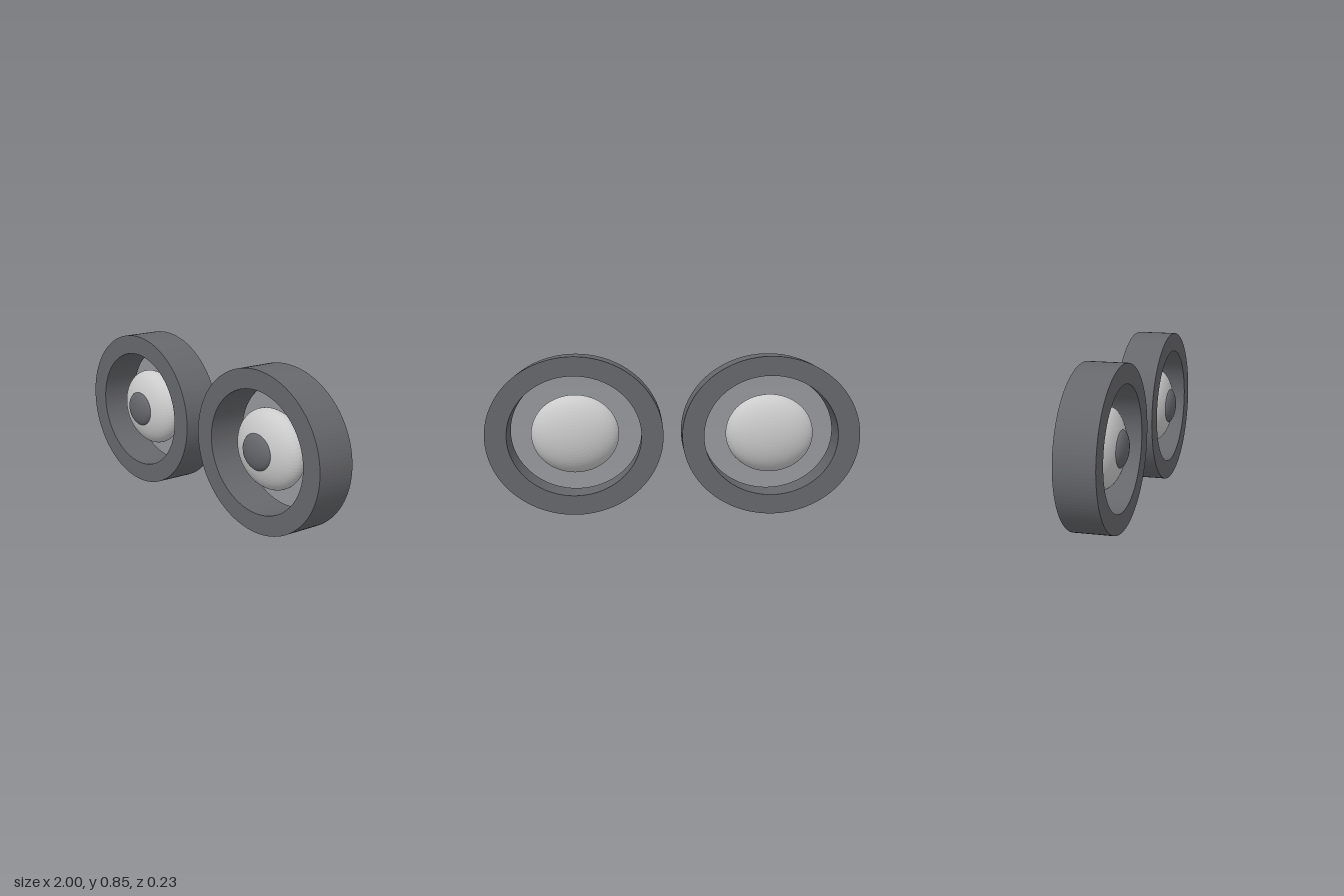
import * as THREE from 'three';

const RX = 0.475, RY = 0.4235; // outer half-width and half-height of a ring
const CENTER_X = 0.525, MID_Z = -0.01, DEPTH = 0.209;

const dark = new THREE.MeshStandardMaterial({ color: 0x66676b, flatShading: true });
const pale = new THREE.MeshStandardMaterial({ color: 0xcccccc, flatShading: true });

// Flattened ball with its poles along z
function ellipsoid(name, rx, ry, rz, z, material) {
  const geometry = new THREE.SphereGeometry(1, 64, 32);
  geometry.rotateX(Math.PI / 2);
  geometry.scale(rx, ry, rz);
  const mesh = new THREE.Mesh(geometry, material);
  mesh.name = name;
  mesh.position.z = z;
  return mesh;
}

// Oval band with a flat front, a flat back and an open middle
function ovalRing() {
  const shape = new THREE.Shape();
  shape.absellipse(0, 0, RX, RY, 0, Math.PI * 2, false);
  const hole = new THREE.Path();
  hole.absellipse(0, 0, 0.358, 0.32, 0, Math.PI * 2, true);
  shape.holes.push(hole);
  const geometry = new THREE.ExtrudeGeometry(shape, {
    depth: DEPTH, bevelEnabled: false, curveSegments: 64,
  });
  geometry.translate(0, 0, MID_Z - DEPTH / 2);
  const mesh = new THREE.Mesh(geometry, dark);
  mesh.name = 'ring';
  return mesh;
}

function createEye(name) {
  const eye = new THREE.Group();
  eye.name = name;
  eye.add(
    ovalRing(),
    ellipsoid('eyeball', 0.237, 0.211, 0.105, MID_Z, pale),
    ellipsoid('pupil', 0.11, 0.0975, 0.041, 0.075, dark),
  );
  return eye;
}

export function createModel() {
  const model = new THREE.Group();
  model.name = 'eyes';
  for (const [name, side] of [['leftEye', 1], ['rightEye', -1]]) {
    const eye = createEye(name);
    eye.position.set(side * CENTER_X, RY, 0);
    model.add(eye);
  }
  return model;
}
